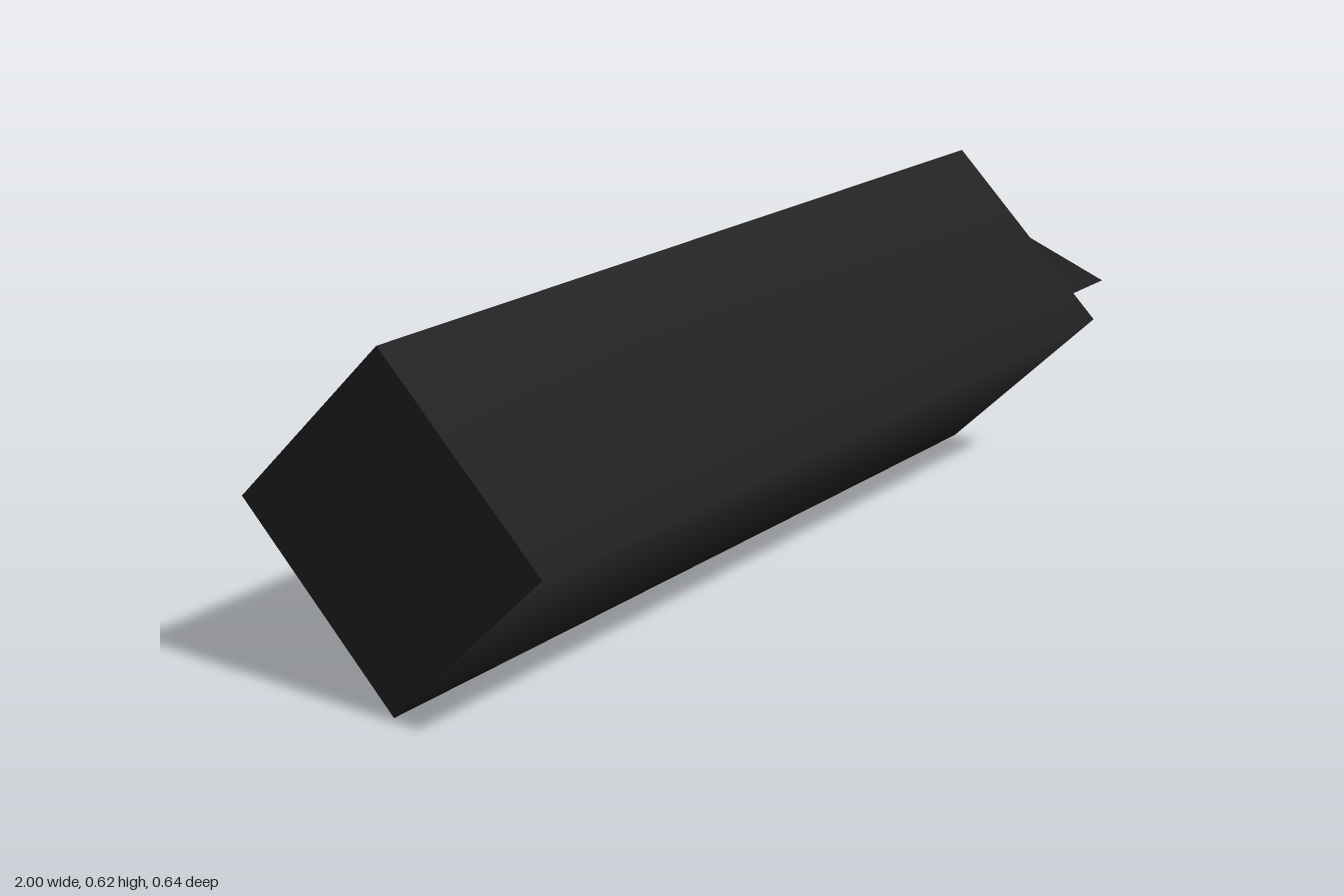
import * as THREE from 'three';

const black = new THREE.MeshStandardMaterial({ color: 0x262626 });
black.name = 'black';

// Smooth-shaded prism lying along x, with one corner towards +z
function prism(name, sides, x0, x1, height, depth, z) {
  const geometry = new THREE.CylinderGeometry(1, 1, x1 - x0, sides);
  geometry.rotateZ(-Math.PI / 2);
  geometry.scale(1, height, depth);
  const mesh = new THREE.Mesh(geometry, black);
  mesh.name = name;
  mesh.position.set((x0 + x1) / 2, 0.309, z);
  return mesh;
}

export function createModel() {
  const group = new THREE.Group();
  group.name = 'prismBarrel';

  // Four-sided main body
  group.add(prism('body', 4, -1, 0.722, 0.309, 0.318, 0));

  // Three-sided tip on the +x end
  group.add(prism('tip', 3, 0.722, 1, 0.1443, 0.219, -0.029));

  return group;
}
